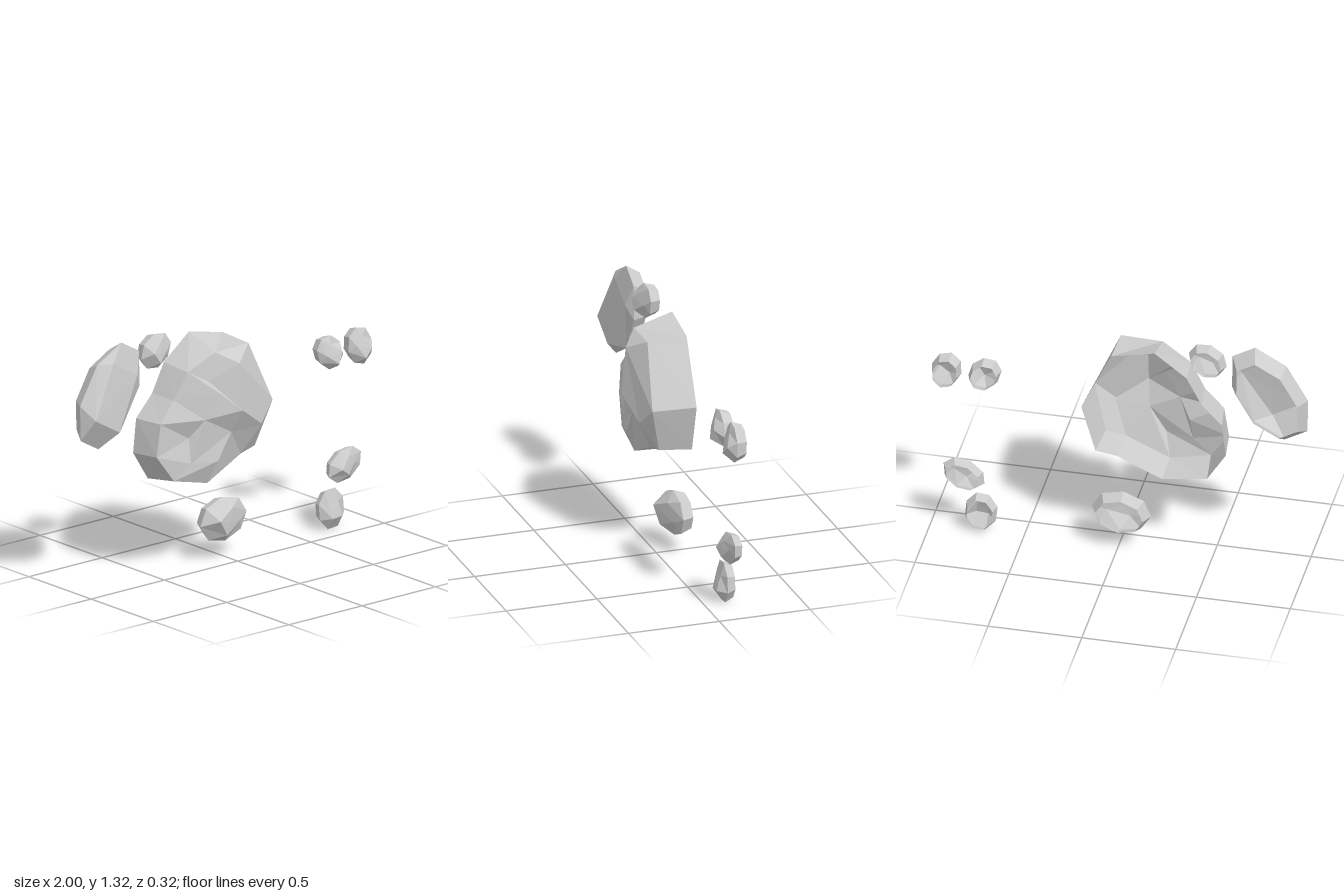
import * as THREE from 'three';

const stone = new THREE.MeshStandardMaterial({ color: 0xcccccc, flatShading: true, side: THREE.DoubleSide });
stone.name = 'light grey stone';

// Skins a series of clockwise rings, back to front, as an open-backed faceted shell
function shell(name, rings) {
  const points = [];
  const addFace = (a, b, c) => {
    if (new THREE.Triangle(a, b, c).getArea() > 1e-7) points.push(a, b, c);
  };
  for (let r = 0; r < rings.length - 1; r++) {
    const back = rings[r], front = rings[r + 1];
    for (let i = 0; i < back.length; i++) {
      const j = (i + 1) % back.length;
      addFace(back[i], front[i], back[j]);
      addFace(back[j], front[i], front[j]);
    }
  }
  const geometry = new THREE.BufferGeometry().setFromPoints(points);
  geometry.computeVertexNormals();
  const mesh = new THREE.Mesh(geometry, stone);
  mesh.name = name;
  return mesh;
}

// Eight-sided pebble: narrow rim, widest girdle, four crown corners sloping along its length
function pebble([name, x, y, long, short, tilt, phase, crown, midZ, topZ, backZ]) {
  const turn = THREE.MathUtils.degToRad(tilt);
  const at = (step, scale, z) => {
    const a = -step * Math.PI / 4;
    return new THREE.Vector3(Math.cos(a) * long * scale, Math.sin(a) * short * scale, z)
      .applyAxisAngle(new THREE.Vector3(0, 0, 1), turn)
      .add(new THREE.Vector3(x, y, 0));
  };
  const ring = (make) => Array.from({ length: 8 }, (_, i) => make(i + phase));
  const slope = (topZ - midZ) * 0.35;
  const crownCorner = (i) => {
    const step = Math.floor(i / 2) * 2 + 0.5 + phase;
    return at(step, crown, topZ - slope * (1 + Math.cos(step * Math.PI / 4)));
  };
  return shell(name, [
    ring((i) => at(i, 0.82, backZ)),
    ring((i) => at(i, 1.02, midZ)),
    ring(crownCorner),
    ring(() => at(0, 0, topZ - slope * 0.9)),
  ]);
}

// Name, centre, long and short radius, tilt, corner phase, crown scale, then girdle, crown and back depths
const pebbles = [
  ['longRock', -0.8, 1.05, 0.295, 0.178, 60, 0.5, 0.75, -0.085, 0, -0.165],
  ['topPebble', -0.472, 1.225, 0.105, 0.09, 35, 0.5, 0.55, -0.1, -0.04, -0.157],
  ['innerSidePebble', 0.715, 0.97, 0.1, 0.08, 125, 0, 0.55, -0.1, -0.04, -0.157],
  ['outerSidePebble', 0.92, 0.966, 0.106, 0.08, 105, 0, 0.55, -0.1, -0.045, -0.157],
  ['lowerRock', -0.012, 0.212, 0.155, 0.12, 5, 0, 0.6, -0.1, -0.015, -0.165],
  ['upperCornerPebble', 0.825, 0.333, 0.118, 0.085, 25, 0, 0.5, -0.11, -0.06, -0.157],
  ['lowerCornerPebble', 0.733, 0.112, 0.113, 0.088, 95, 0.5, 0.5, -0.11, -0.06, -0.157],
];

// Main boulder: back rim, shoulder, inner ring with a valley on its left, upper ridges and a peak
function mainBoulder() {
  // Rim x and y, then the taper and depth of the shoulder in front of it
  const outline = [[-0.2, 1.26, 0.84, 0.055], [0.03, 1.21, 0.98, 0.057], [0.19, 0.87, 0.95, 0.08],
    [0.115, 0.607, 0.95, 0.02], [0, 0.59, 0.97, 0.03], [-0.24, 0.48, 0.98, 0.037], [-0.48, 0.516, 0.93, 0.03],
    [-0.58, 0.676, 0.95, 0.01], [-0.56, 0.86, 0.93, 0.01], [-0.45, 0.976, 0.95, 0], [-0.37, 1.13, 0.93, 0.02]];
  const inner = [[-0.1, 1.136, 0.133], [-0.1, 1.136, 0.133], [0.065, 0.77, 0.115], [0.065, 0.76, 0.11],
    [-0.12, 0.757, 0.09], [-0.21, 0.615, 0.09], [-0.36, 0.62, 0.05], [-0.35, 0.75, 0.02],
    [-0.285, 0.85, 0.075], [-0.205, 0.985, 0.1], [-0.25, 1.05, 0.06]]
    .map((p) => new THREE.Vector3(...p));
  const ridges = inner.map((p, i) => (i === 5 ? inner[4] : i === 6 || i === 7 ? inner[8] : p));
  return shell('mainBoulder', [
    outline.map(([x, y]) => new THREE.Vector3(x, y, -0.157)),
    outline.map(([x, y, taper, z]) =>
      new THREE.Vector3(-0.19 + (x + 0.19) * taper, 0.87 + (y - 0.87) * taper, z)),
    inner,
    ridges,
    inner.map(() => new THREE.Vector3(-0.1, 0.885, 0.16)),
  ]);
}

export function createModel() {
  const model = new THREE.Group();
  model.name = 'rocks';
  model.add(mainBoulder(), ...pebbles.map(pebble));
  return model;
}
